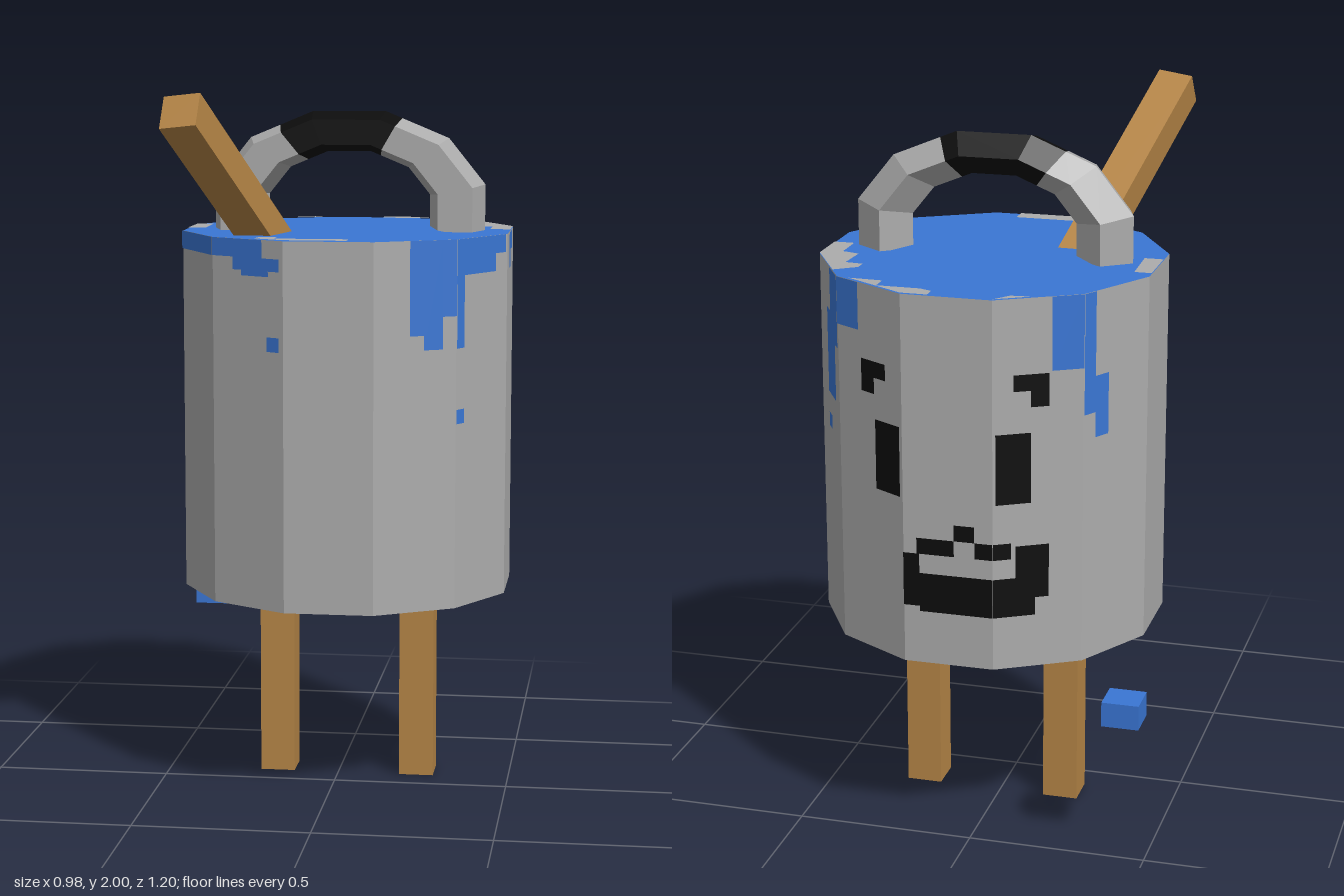
import * as THREE from 'three';
import { mergeGeometries } from 'three/addons/utils/BufferGeometryUtils.js';

const CX = 0.025, CZ = -0.14;            // bucket axis
const APOTHEM = 0.4625, RADIUS = APOTHEM / Math.cos(Math.PI / 12);
const BOTTOM = 0.57, TOP = 1.6;
const SIDE = 2 * RADIUS * Math.sin(Math.PI / 12);
const rad = THREE.MathUtils.degToRad;

function mat(name, color) {
  const m = new THREE.MeshStandardMaterial({ color });
  m.name = name;
  return m;
}

function flat(geo) {
  const g = geo.index ? geo.toNonIndexed() : geo;
  g.computeVertexNormals();
  return g;
}

// Plates on the bucket wall: [facet, u0, u1, y0, y1], u runs 0..1 across the facet
function wallPlates(list) {
  return mergeGeometries(list.map(([k, u0, u1, y0, y1]) => {
    const g = new THREE.PlaneGeometry((u1 - u0) * SIDE, y1 - y0);
    g.translate(((u0 + u1) / 2 - 0.5) * SIDE, (y0 + y1) / 2, APOTHEM + 0.003);
    g.rotateY(rad(30 * k));
    g.translate(CX, 0, CZ);
    return g;
  }));
}

// Flat patch lying on the lid, outlined by x, z pairs
function lidPatch(points) {
  const g = new THREE.ShapeGeometry(new THREE.Shape(points.map(([x, z]) => new THREE.Vector2(x, -z))));
  g.rotateX(-Math.PI / 2);
  return g.translate(0, TOP + 0.003, 0);
}

// Handle section: five corners as [offset from centre line, z]
const SECTION = [[0.079, -0.143], [0.049, -0.05], [-0.049, -0.05], [-0.079, -0.143], [0, -0.2]];
function handlePiece(rings) {
  const pos = [];
  const at = (p, j) => {
    const [dr, z] = SECTION[j % 5];
    const r = (0.311 + dr) / Math.cos(Math.PI / 12);
    return [CX + r * p.x, 1.655 + 0.72 * r * p.y, z];
  };
  for (let i = 0; i < rings.length - 1; i++) {
    for (let j = 0; j < 5; j++) {
      const a = at(rings[i], j), b = at(rings[i + 1], j);
      const c = at(rings[i + 1], j + 1), d = at(rings[i], j + 1);
      pos.push(...a, ...c, ...b, ...a, ...d, ...c);
    }
  }
  const g = new THREE.BufferGeometry();
  g.setAttribute('position', new THREE.Float32BufferAttribute(pos, 3));
  return flat(g);
}

export function createModel() {
  const model = new THREE.Group();
  const metal = mat('metal grey', 0xacacac);
  const paint = mat('blue paint', 0x3a76d4);
  const wood = mat('wood', 0xb58546);
  const black = mat('black', 0x0d0d0d);

  const add = (name, geo, material) => {
    const mesh = new THREE.Mesh(geo, material);
    mesh.name = name;
    model.add(mesh);
    return mesh;
  };

  // Twelve-sided bucket with a paint surface on top
  const bucket = new THREE.CylinderGeometry(RADIUS, RADIUS, TOP - BOTTOM, 12, 1, false, rad(15));
  bucket.translate(CX, (TOP + BOTTOM) / 2, CZ);
  add('bucket', flat(bucket), [metal, paint, metal]);

  // Bare metal patches at the rim
  add('rimPatches', mergeGeometries([
    [[0.075, -0.602], [0.075, -0.565], [0.11, -0.55], [0.23, -0.55], [0.23, -0.5], [0.325, -0.497], [0.149, -0.602]],
    [[-0.19, -0.55], [-0.135, -0.555], [-0.13, -0.602], [-0.1, -0.602]].map(([x, z]) =>
      [x, Math.max(z, -0.602 + Math.max(0, -0.1 - x) * 0.577)]),
    [[0.393, -0.428], [0.335, -0.385], [0.335, -0.35], [0.385, -0.345], [0.38, -0.25],
      [0.43, -0.235], [0.43, -0.14], [0.4875, -0.14], [0.4875, -0.264]],
    [[-0.4375, -0.24], [-0.39, -0.24], [-0.385, -0.09], [-0.4375, -0.09]],
    [[-0.185, 0.272], [-0.18, 0.22], [-0.13, 0.22], [-0.13, 0.27], [0.075, 0.27], [0.075, 0.322], [-0.099, 0.322]],
  ].map(lidPatch)), metal);

  // Paint runs and drops on the wall
  add('paintDrips', wallPlates([
    [10, 0, 1, 1.55, TOP], [11, 0, 0.71, 1.55, TOP],
    [11, 0.3, 0.95, 1.515, 1.55], [11, 0.42, 0.8, 1.5, 1.515], [11, 0.78, 0.95, 1.295, 1.335],
    [1, 0.43, 0.6, 1.34, TOP], [1, 0.6, 0.83, 1.3, TOP], [1, 0.83, 1, 1.39, TOP],
    [2, 0, 0.14, 1.3, TOP], [2, 0.14, 0.75, 1.5, TOP], [2, 0.75, 0.95, 1.55, TOP], [2, 0, 0.14, 1.09, 1.13],
    [3, 0.19, 0.6, 1.55, TOP], [3, 0.19, 0.38, 1.5, 1.55],
    [4, 0.62, 1, 1.48, TOP], [4, 0.44, 0.85, 1.24, 1.48], [4, 0.85, 1, 1.4, 1.48], [4, 0.44, 0.6, 1.14, 1.18],
    [5, 0, 0.34, 1.47, TOP],
    [7, 0.65, 1, 1.4, TOP], [8, 0, 0.17, 1.27, TOP], [8, 0.17, 0.37, 1.2, 1.37],
  ]), paint);

  // Face on the back wall
  add('eyebrows', wallPlates([
    [5, 0.38, 0.76, 1.35, 1.395], [5, 0.38, 0.58, 1.305, 1.35],
    [7, 0.23, 0.62, 1.35, 1.395], [7, 0.42, 0.62, 1.305, 1.35],
  ]), black);
  add('eyes', wallPlates([[5, 0.59, 0.97, 1.04, 1.235], [7, 0.03, 0.42, 1.04, 1.235]]), black);
  add('mouth', wallPlates([
    [6, 0.15, 0.57, 0.885, 0.93], [6, 0.57, 0.8, 0.93, 0.975], [6, 0.8, 1, 0.885, 0.93], [7, 0, 0.2, 0.885, 0.93],
    [6, 0, 0.18, 0.735, 0.885], [6, 0.18, 1, 0.72, 0.83], [7, 0, 0.47, 0.72, 0.83], [7, 0.25, 0.62, 0.77, 0.92],
  ]), black);

  // Arched handle with a dark grip
  const on = (deg) => new THREE.Vector2(Math.cos(rad(deg)), Math.sin(rad(deg)));
  const gripRight = on(135).lerp(on(105), 0.47), gripLeft = on(75).lerp(on(45), 0.26);
  add('handleRight', handlePiece([on(195), on(165), on(135), gripRight]), metal);
  add('handleGrip', handlePiece([gripRight, on(105), on(75), gripLeft]), black);
  add('handleLeft', handlePiece([gripLeft, on(45), on(15), on(-15)]), metal);

  // Legs
  for (const [name, x] of [['rightLeg', -0.18], ['leftLeg', 0.23]]) {
    add(name, new THREE.BoxGeometry(0.1, BOTTOM, 0.1).translate(x, BOTTOM / 2, -0.135), wood);
  }

  // Stirring stick leaning out of the paint
  const axis = new THREE.Vector3(-0.1525, 0.395, 0.557).normalize();
  const across = new THREE.Vector3(0.1015, 0.011, 0.02).normalize();
  const up = new THREE.Vector3().crossVectors(axis, across).normalize();
  across.crossVectors(up, axis);
  const stick = new THREE.BoxGeometry(0.103, 0.1, 0.9).translate(0, 0, -0.45);
  stick.applyMatrix4(new THREE.Matrix4().makeBasis(across, up, axis).setPosition(-0.333, 1.956, 0.557));
  add('stirringStick', stick, wood);

  // Falling drop of paint
  add('paintDrop', new THREE.BoxGeometry(0.103, 0.07, 0.1).translate(-0.4385, 0.45, -0.5), paint);

  return model;
}
